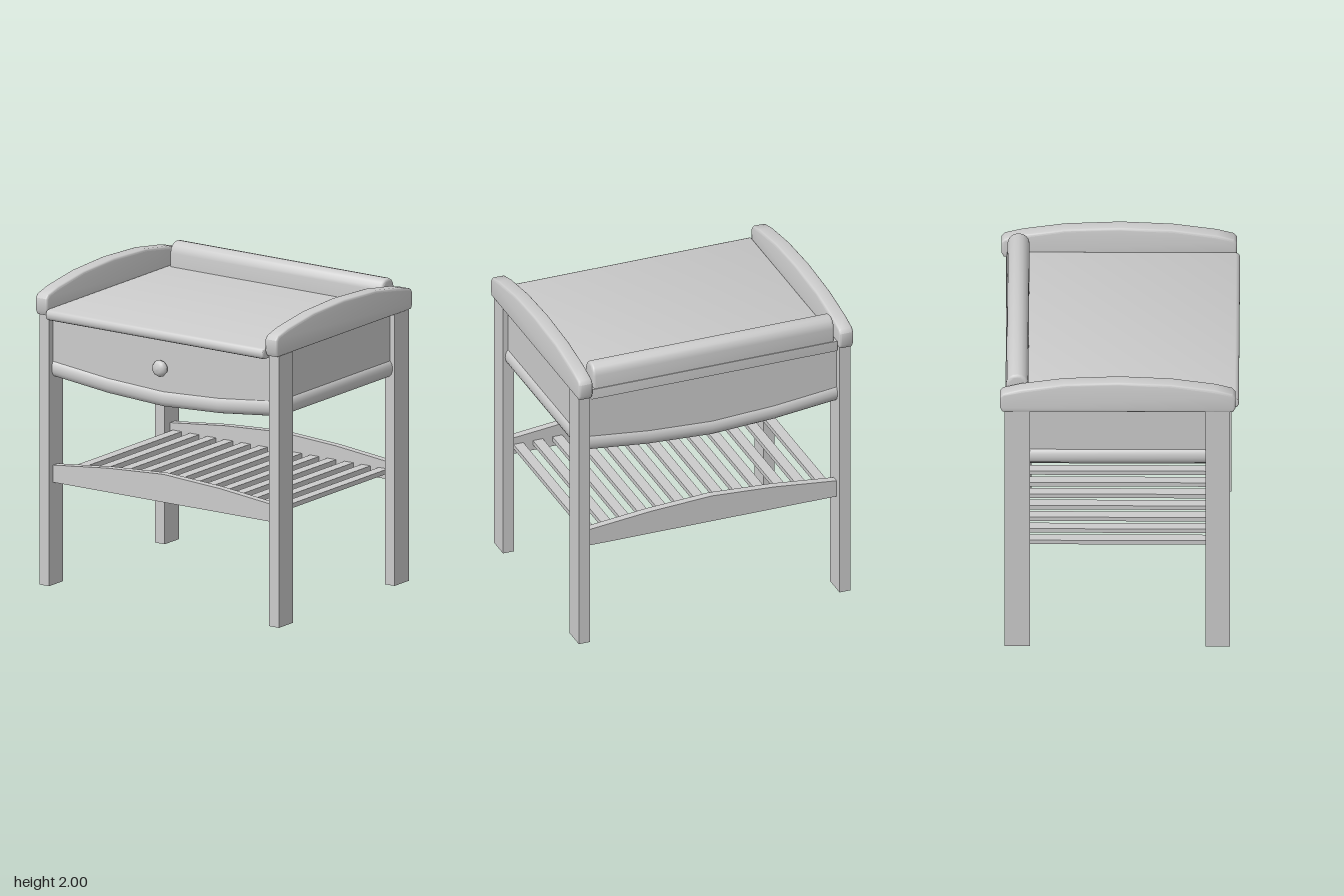
import * as THREE from 'three';
import { toCreasedNormals } from 'three/addons/utils/BufferGeometryUtils.js';

const material = new THREE.MeshStandardMaterial({ color: 0xcccccc });
const HALF = 0.857; // half the span between the legs

// Height at x on a shallow four-piece arch, from centre to end
function arch(x, centre, middle, end) {
  const t = Math.abs(x) / HALF * 2;
  return t < 1 ? centre + (middle - centre) * t : middle + (end - middle) * (t - 1);
}

function shapeOf(points) {
  return new THREE.Shape(points.map(([a, b]) => new THREE.Vector2(a, b)));
}

// Extrude a [z, y] profile along x, centred on x = 0
function extrudeX(profile, length, { bevel = 0, steps = 1, bend } = {}) {
  const geo = new THREE.ExtrudeGeometry(shapeOf(profile.map(([z, y]) => [-z, y])), {
    depth: length - 2 * bevel, steps, bevelEnabled: bevel > 0,
    bevelSize: bevel, bevelThickness: bevel, bevelOffset: -bevel, bevelSegments: 3,
  });
  geo.translate(0, 0, bevel - length / 2).rotateY(Math.PI / 2);
  if (bend) {
    const p = geo.attributes.position;
    for (let i = 0; i < p.count; i++) p.setY(i, p.getY(i) + bend(p.getX(i)));
  }
  return toCreasedNormals(geo, 0.7);
}

export function createModel() {
  const model = new THREE.Group();
  model.name = 'sideTable';

  function add(name, geo, x = 0, y = 0, z = 0) {
    const mesh = new THREE.Mesh(geo, material);
    mesh.name = name;
    mesh.position.set(x, y, z);
    model.add(mesh);
    return mesh;
  }
  function box(name, x0, x1, y0, y1, z0, z1) {
    return add(name, new THREE.BoxGeometry(x1 - x0, y1 - y0, z1 - z0),
      (x0 + x1) / 2, (y0 + y1) / 2, (z0 + z1) / 2);
  }

  // Arched side rails on top of the legs
  const armProfile = [[-0.74, 1.78], [0.725, 1.78], [0.74, 1.81], [0.74, 1.89], [0.72, 1.915],
    [0.61, 1.945], [0.33, 1.985], [0, 2], [-0.35, 1.985], [-0.62, 1.945], [-0.735, 1.915],
    [-0.755, 1.89], [-0.755, 1.81]];
  const armGeo = extrudeX(armProfile, 0.095, { bevel: 0.015 });

  // Half-round moulding profile: flat inside, bulging outside
  const moulding = [[-0.1, -0.058], [-0.04, -0.058]];
  for (let i = 0; i <= 8; i++) {
    const a = -Math.PI / 2 + (i / 8) * Math.PI;
    moulding.push([-0.04 + 0.04 * Math.cos(a), 0.058 * Math.sin(a)]);
  }
  moulding.push([-0.1, 0.058]);

  for (const [side, s] of [['left', 1], ['right', -1]]) {
    add(side + 'Arm', armGeo, s * 0.8925);
    for (const [end, z0, z1] of [['Front', 0.55, 0.705], ['Back', -0.725, -0.565]]) {
      const inner = s * 0.855, outer = s * 0.93;
      box(side + end + 'Leg', Math.min(inner, outer), Math.max(inner, outer), 0, 1.79, z0, z1);
    }
    // Side panel and its straight moulding
    box(side + 'Panel', s * 0.88 - 0.015, s * 0.88 + 0.015, 1.42, 1.79, -0.57, 0.555);
    const rail = add(side + 'Moulding', extrudeX(moulding, 1.13), s * 0.915, 1.422, -0.008);
    rail.rotation.y = s * Math.PI / 2;
  }

  // Front and back aprons with bowed lower edges
  const xs = [-HALF, -HALF / 2, 0, HALF / 2, HALF];
  const apronGeo = new THREE.ExtrudeGeometry(
    shapeOf([...xs.map((x) => [x, arch(x, 1.37, 1.39, 1.43)]), [HALF, 1.76], [-HALF, 1.76]]),
    { depth: 0.035, bevelEnabled: false });
  const mouldingGeo = extrudeX(moulding, 2 * HALF, {
    steps: 4, bend: (x) => arch(x, 1.353, 1.375, 1.422),
  });

  // Shelf end rails with arched upper edges
  const shelfRailGeo = new THREE.ExtrudeGeometry(
    shapeOf([[-HALF, 0.672], [HALF, 0.672],
      ...xs.slice().reverse().map((x) => [x, arch(x, 0.855, 0.83, 0.785)])]),
    { depth: 0.05, bevelEnabled: false });

  for (const [name, s, z] of [['front', 1, 0.66], ['back', -1, -0.675]]) {
    add(name + 'Apron', apronGeo, 0, 0, s > 0 ? z - 0.035 : z);
    const rail = add(name + 'Moulding', mouldingGeo, 0, 0, z + s * 0.015);
    rail.rotation.y = s > 0 ? 0 : Math.PI;
    add(name + 'ShelfRail', shelfRailGeo, 0, 0, s > 0 ? z - 0.05 : z);
  }

  // Shelf slats running front to back
  const slats = 13;
  for (let i = 0; i < slats; i++) {
    const x = -0.8 + (1.6 * i) / (slats - 1);
    box('shelfSlat', x - 0.034, x + 0.034, 0.71, 0.74, -0.63, 0.615);
  }

  // Table top with a rounded front edge
  const topProfile = [[-0.72, 1.755], [0.735, 1.755], [0.75, 1.762], [0.76, 1.778],
    [0.76, 1.802], [0.75, 1.818], [0.735, 1.825], [-0.72, 1.825]];
  add('tableTop', extrudeX(topProfile, 1.69, { bevel: 0.008 }));

  // Raised back rail with a rounded crest
  const crest = [[-0.575, 1.82]];
  for (let i = 0; i <= 8; i++) {
    const a = (i / 8) * Math.PI;
    crest.push([-0.645 + 0.07 * Math.cos(a), 1.915 + 0.07 * Math.sin(a)]);
  }
  crest.push([-0.715, 1.82]);
  add('backRail', extrudeX(crest, 1.65, { bevel: 0.018 }));

  // Drawer knob
  const knobProfile = [[0.025, 0], [0.025, 0.02], [0.05, 0.032], [0.056, 0.05], [0.045, 0.07],
    [0.025, 0.08], [0, 0.083]].map(([r, h]) => new THREE.Vector2(r, h));
  const knob = add('drawerKnob', new THREE.LatheGeometry(knobProfile, 10), 0, 1.558, 0.65);
  knob.rotation.x = Math.PI / 2;

  return model;
}
